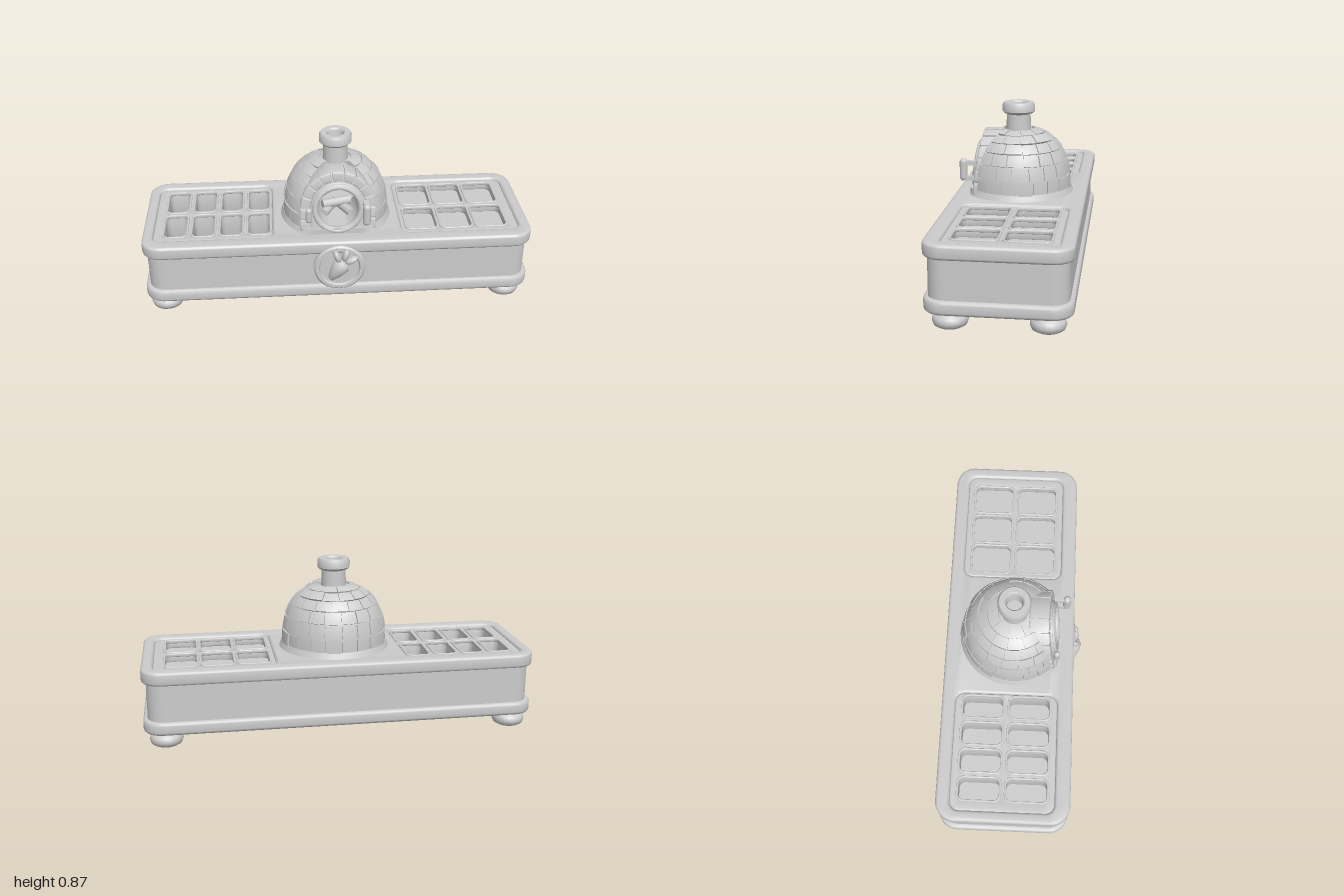
import * as THREE from 'three';
import { toCreasedNormals } from 'three/addons/utils/BufferGeometryUtils.js';

const ZC = -0.022; // the counter sits slightly behind the emblem

export function createModel() {
  const model = new THREE.Group();
  const grey = new THREE.MeshStandardMaterial({ color: 0xcccccc });

  const add = (name, geo, x = 0, y = 0, z = 0) => {
    const m = new THREE.Mesh(geo, grey);
    m.name = name;
    m.position.set(x, y, z);
    model.add(m);
    return m;
  };

  // Rounded rectangle centred on (cx, cy)
  const roundRect = (Type, cx, cy, w, h, r) => {
    const s = new Type(), a = w / 2 - r, b = h / 2 - r, q = Math.PI / 2;
    s.moveTo(cx + a + r, cy - b);
    s.absarc(cx + a, cy + b, r, 0, q);
    s.absarc(cx - a, cy + b, r, q, 2 * q);
    s.absarc(cx - a, cy - b, r, 2 * q, 3 * q);
    s.absarc(cx + a, cy - b, r, 3 * q, 4 * q);
    return s;
  };

  const extrude = (shape, depth, bevel) => toCreasedNormals(new THREE.ExtrudeGeometry(shape, {
    depth: depth - 2 * bevel, bevelEnabled: bevel > 0, bevelSize: bevel, bevelThickness: bevel,
    bevelOffset: -bevel, bevelSegments: 3, curveSegments: 8,
  }).translate(0, 0, bevel), 0.7);

  // Horizontal slab between y0 and y1; its shape is drawn in (x, -z)
  const slab = (name, shape, y0, y1, bevel) =>
    add(name, extrude(shape, y1 - y0, bevel).rotateX(-Math.PI / 2), 0, y0, 0);

  // Counter body
  const trays = [
    { x: -0.64, cols: 4, pitch: 0.143, w: 0.113, depth: 0.14, name: 'deepTray' },
    { x: 0.635, cols: 3, pitch: 0.182, w: 0.16, depth: 0.04, name: 'shallowTray' },
  ];
  const trayW = 0.61, trayD = 0.53, trayZ = -0.027;
  const top = roundRect(THREE.Shape, 0, -ZC, 2, 0.68, 0.1);
  trays.forEach(t => top.holes.push(roundRect(THREE.Path, t.x, -trayZ, trayW, trayD, 0.05)));
  slab('counterTop', top, 0.342, 0.412, 0.014);
  slab('baseSlab', roundRect(THREE.Shape, 0, -ZC, 2, 0.68, 0.1), 0.085, 0.152, 0.016);
  const walls = roundRect(THREE.Shape, 0, -ZC, 1.955, 0.64, 0.085);
  walls.holes.push(roundRect(THREE.Path, 0, -ZC, 1.9, 0.585, 0.06));
  slab('counterWalls', walls, 0.14, 0.35, 0);

  // Trays with two rows of rounded compartments
  for (const t of trays) {
    const plate = roundRect(THREE.Shape, t.x, -trayZ, trayW, trayD, 0.05);
    for (let i = 0; i < t.cols; i++) for (const z of [-0.147, 0.095]) {
      const x = t.x + (i - (t.cols - 1) / 2) * t.pitch + (t.cols === 4 ? 0.02 : -0.015);
      plate.holes.push(roundRect(THREE.Path, x, -z, t.w, 0.21, 0.03));
      const rim = roundRect(THREE.Shape, x, -z, t.w + 0.018, 0.228, 0.036);
      rim.holes.push(roundRect(THREE.Path, x, -z, t.w - 0.004, 0.206, 0.028));
      slab(t.name + 'Rim', rim, 0.39, 0.409, 0.004);
    }
    slab(t.name, plate, 0.402 - t.depth, 0.402, 0.005);
    slab(t.name + 'Floor', roundRect(THREE.Shape, t.x, -trayZ, trayW, trayD, 0.05),
      0.392 - t.depth, 0.404 - t.depth, 0);
  }

  // Bun feet
  const footProfile = [[0, 0], [0.06, 0], [0.077, 0.01], [0.084, 0.03], [0.08, 0.05], [0.064, 0.062],
    [0.054, 0.07], [0.058, 0.092]].map(p => new THREE.Vector2(...p));
  for (const x of [-0.9, 0.89]) for (const z of [0.2, -0.245])
    add('foot', new THREE.LatheGeometry(footProfile, 24), x, 0.003, z);

  // Dome: a box bent over a rounded profile, angles measured from the front
  const domePatch = (p0, p1, a0, a1, in0, out, nx, ny) => {
    const g = new THREE.BoxGeometry(1, 1, 1, nx, ny, 1), pos = g.attributes.position;
    for (let i = 0; i < pos.count; i++) {
      const phi = p0 + (p1 - p0) * (pos.getX(i) + 0.5);
      const a = a0 + (a1 - a0) * (pos.getY(i) + 0.5);
      const off = pos.getZ(i) > 0 ? out : in0;
      const c = Math.max(Math.cos(a), 0), s = Math.max(Math.sin(a), 0);
      const r = 0.272 * c ** 0.8 + off * c;
      pos.setXYZ(i, r * Math.sin(phi), 0.425 + 0.318 * s ** 0.8 + off * s, r * Math.cos(phi));
    }
    g.computeVertexNormals();
    return toCreasedNormals(g, 0.8);
  };
  const gap = 0.78, span = 2 * Math.PI - 2 * gap;
  add('domeShell', domePatch(gap, gap + span, 0, Math.PI / 2, -0.03, -0.007, 48, 16));
  const rows = [0, 0.19, 0.42, 0.66, 0.9, 1.14, 1.36];
  for (let r = 0; r < rows.length - 1; r++) {
    const n = [16, 15, 14, 12, 10, 7][r], step = span / n;
    for (let k = 0; k <= n; k++) { // alternate rows are shifted half a brick
      const shift = r % 2 ? 0.5 : 0;
      const p0 = gap + Math.max(0, k - shift) * step, p1 = gap + Math.min(n, k + 1 - shift) * step;
      if (p1 - p0 < 0.01) continue;
      const lift = ((k * 5 + r * 3) % 4) * 0.0015;
      add('domeBrick', domePatch(p0 + 0.012, p1 - 0.012, rows[r] + 0.012, rows[r + 1] - 0.012,
        -0.02, lift, 4, 3));
    }
  }
  // Skirt below the dome, flattened at the front
  const skirt = new THREE.CylinderGeometry(0.275, 0.29, 0.035, 48), sp = skirt.attributes.position;
  for (let i = 0; i < sp.count; i++) sp.setZ(i, Math.min(sp.getZ(i), 0.235));
  add('domeSkirt', toCreasedNormals(skirt, 0.7), 0, 0.425, 0);

  // Oven front leans backwards with height
  const lean = g => {
    const p = g.attributes.position;
    for (let i = 0; i < p.count; i++) p.setZ(i, p.getZ(i) - (p.getY(i) - 0.42) * 0.13);
    return toCreasedNormals(g, 0.7);
  };
  const CY = 0.545;
  const archShape = (r, hole) => {
    const s = new THREE.Shape();
    s.moveTo(-r, 0.42);
    s.lineTo(r, 0.42);
    s.lineTo(r, CY);
    s.absarc(0, CY, r, 0, Math.PI);
    s.holes.push(new THREE.Path().absarc(0, CY, hole, 0, Math.PI * 2, true));
    return s;
  };
  add('ovenArch', lean(extrude(archShape(0.183, 0.105), 0.2, 0.008).translate(0, 0, 0.012)));
  add('ovenFacePlate', lean(extrude(archShape(0.14, 0.105), 0.03, 0.006).translate(0, 0, 0.197)));
  // Arch stones and the straight stones below them
  for (let k = 0; k < 9; k++) {
    const a0 = k * Math.PI / 9 + 0.02, a1 = (k + 1) * Math.PI / 9 - 0.02;
    const s = new THREE.Shape().absarc(0, CY, 0.19, a0, a1);
    s.absarc(0, CY, 0.142, a1, a0, true);
    add('archStone', lean(extrude(s, 0.1, 0.006).translate(0, 0, 0.117)));
  }
  for (const side of [-1, 1]) for (const y of [0.452, 0.514])
    add('archStone', lean(extrude(roundRect(THREE.Shape, side * 0.167, y, 0.05, 0.058, 0.006), 0.1, 0.006)
      .translate(0, 0, 0.117)));
  add('ovenMouthRing', lean(new THREE.TorusGeometry(0.118, 0.016, 10, 40).translate(0, CY, 0.224)));

  // Oven floor and logs
  add('ovenFloor', new THREE.CylinderGeometry(0.24, 0.24, 0.03, 32, 1), 0, 0.435, -0.02);
  [[-0.035, 0.47, 0.5], [0.04, 0.47, -0.5], [0, 0.5, 1.3]].forEach(([x, y, turn]) => {
    const log = add('log', new THREE.CylinderGeometry(0.024, 0.024, 0.15, 10), x, y, 0.06);
    log.rotation.set(Math.PI / 2, 0, turn);
  });

  // Door handle with its brackets, and the hinge opposite
  add('doorHandle', new THREE.CapsuleGeometry(0.02, 0.08, 6, 14), 0.14, 0.54, 0.27);
  for (const y of [0.495, 0.575])
    add('handleBracket', new THREE.BoxGeometry(0.028, 0.022, 0.07), 0.14, y, 0.238);
  add('doorHinge', new THREE.CapsuleGeometry(0.017, 0.05, 6, 12), -0.15, 0.52, 0.225);

  // Chimney with a hollow cap
  const chimney = [[0.066, 0.7], [0.062, 0.815], [0.075, 0.82], [0.084, 0.83], [0.084, 0.862],
    [0.076, 0.876], [0.05, 0.876], [0.043, 0.868], [0.04, 0.79], [0, 0.79]];
  add('chimney', toCreasedNormals(new THREE.LatheGeometry(chimney.map(p => new THREE.Vector2(...p)), 28), 0.7));

  // Round front emblem with a carrot in relief
  const disc = [[0, 0.022], [0.1, 0.022], [0.106, 0.034], [0.122, 0.034], [0.132, 0.024], [0.132, 0]]
    .reverse().map(p => new THREE.Vector2(...p));
  add('emblemDisc', toCreasedNormals(new THREE.LatheGeometry(disc, 40).rotateX(Math.PI / 2), 0.6), 0, 0.26, 0.292);
  const root = [[0, -0.075], [0.016, -0.066], [0.035, -0.02], [0.046, 0.025], [0.036, 0.05], [0, 0.058]];
  const carrot = add('carrotRoot', new THREE.LatheGeometry(root.map(p => new THREE.Vector2(...p)), 20),
    -0.008, 0.25, 0.318);
  carrot.rotation.z = -0.6;
  [[-0.012, 0.33, 0.35], [0.03, 0.338, -0.25], [0.06, 0.308, -1.1]].forEach(([x, y, turn]) => {
    const leaf = add('carrotLeaf', new THREE.SphereGeometry(1, 14, 10), x, y, 0.325);
    leaf.scale.set(0.017, 0.036, 0.024);
    leaf.rotation.z = turn;
  });

  return model;
}
